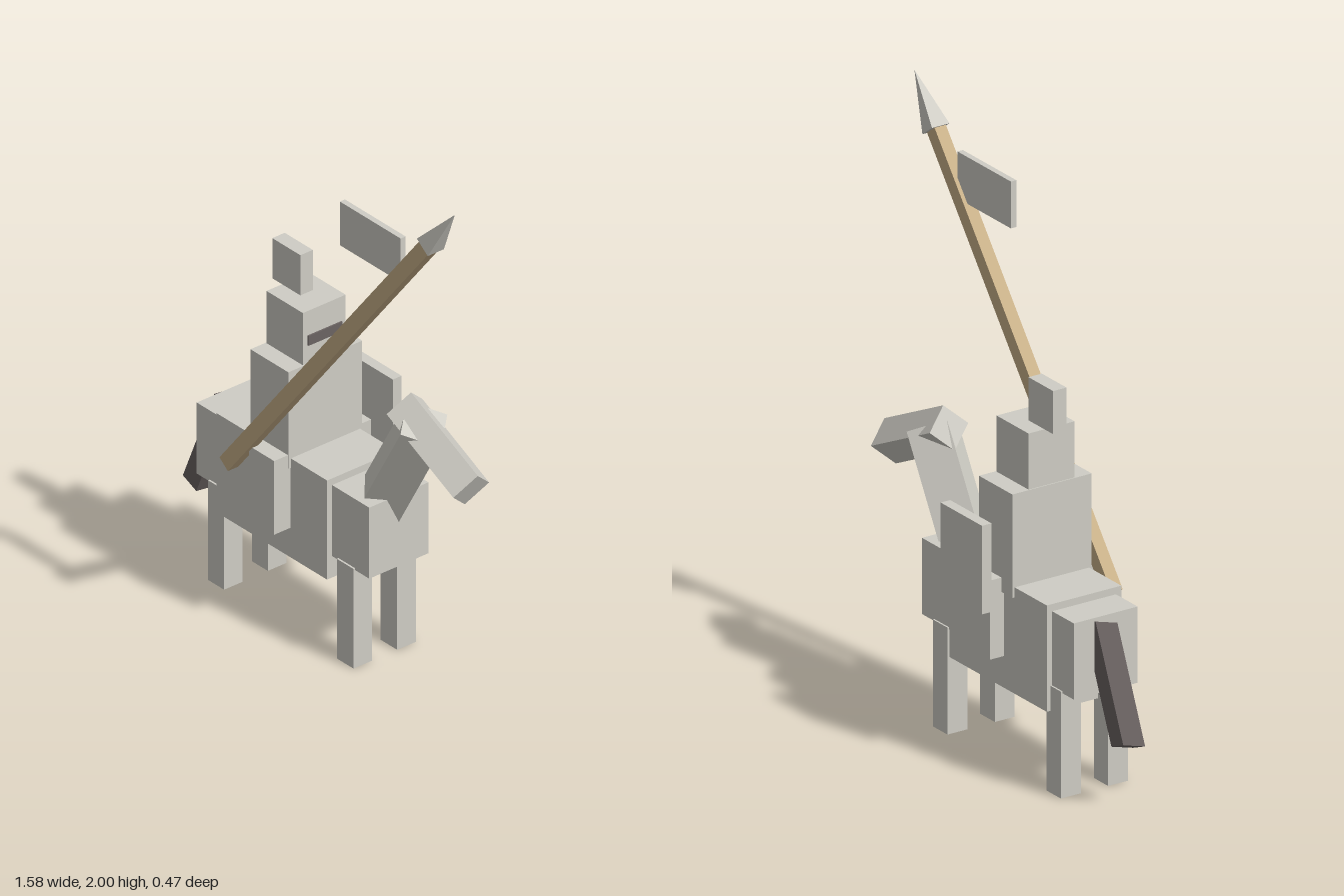
import * as THREE from 'three';

const mat = (name, color) => {
  const m = new THREE.MeshStandardMaterial({ color });
  m.name = name;
  return m;
};

export function createModel() {
  const group = new THREE.Group();
  const stone = mat('pale stone', 0xcfcdc5);
  const wood = mat('lance wood', 0xc9b189);
  const dark = mat('dark brown grey', 0x6b6362);
  const midZ = -0.008;

  const add = (name, geometry, material) => {
    const mesh = new THREE.Mesh(geometry, material);
    mesh.name = name;
    group.add(mesh);
    return mesh;
  };

  // Box given by its limits on each axis
  const block = (name, [x0, x1], [y0, y1], [z0, z1], material = stone) => {
    const mesh = add(name, new THREE.BoxGeometry(x1 - x0, y1 - y0, z1 - z0), material);
    mesh.position.set((x0 + x1) / 2, (y0 + y1) / 2, (z0 + z1) / 2);
    return mesh;
  };

  // Stretches a geometry-builder's result between two points in a plane of constant z
  const beam = (name, [x0, y0], [x1, y1], z, make, material = stone) => {
    const mesh = add(name, make(Math.hypot(x1 - x0, y1 - y0)), material);
    mesh.position.set((x0 + x1) / 2, (y0 + y1) / 2, z);
    mesh.rotation.z = Math.atan2(y1 - y0, x1 - x0) - Math.PI / 2;
    return mesh;
  };
  // Four-sided prism standing on its corners, with split normals
  const prism = (r) => (len) => new THREE.CylinderGeometry(r, r, len, 4).toNonIndexed();
  const facet = (make) => (len) => {
    const g = make(len);
    g.computeVertexNormals();
    return g;
  };

  // Horse
  block('horseBody', [-0.6, 0.26], [0.365, 0.63], [-0.132, 0.116]);
  block('horseBlanket', [-0.477, 0.075], [0.285, 0.655], [-0.153, 0.137]);
  for (const [name, x] of [['hind', [-0.535, -0.455]], ['front', [0.107, 0.19]]]) {
    block(name + 'LegLeft', x, [0, 0.372], [0.046, 0.123]);
    block(name + 'LegRight', x, [0, 0.372], [-0.138, -0.06]);
  }
  beam('horseNeck', [0.175, 0.578], [0.385, 0.95], midZ, facet(prism(0.098)));
  beam('horseHead', [0.288, 0.973], [0.621, 0.813], midZ, facet(prism(0.075)));

  // Tail, slightly skewed to one side
  const tail = beam('horseTail', [-0.585, 0.6], [-0.742, 0.224], -0.018,
    (len) => new THREE.BoxGeometry(0.073, len, 0.066), dark);
  tail.updateMatrix();
  tail.geometry.applyMatrix4(new THREE.Matrix4().makeRotationFromEuler(tail.rotation));
  tail.rotation.set(0, 0, 0);
  tail.geometry.applyMatrix4(new THREE.Matrix4().set(
    1, 0, -0.42, 0,
    0, 1, -0.15, 0,
    0, 0, 1, 0,
    0, 0, 0, 1));
  tail.geometry.computeVertexNormals();

  // Rider
  block('riderTorso', [-0.295, -0.106], [0.62, 0.98], [-0.162, 0.147]);
  block('riderLegLeft', [-0.234, -0.108], [0.395, 0.67], [0.125, 0.205]);
  block('riderLegRight', [-0.234, -0.108], [0.395, 0.67], [-0.207, -0.14]);
  block('helmet', [-0.291, -0.11], [0.98, 1.175], [-0.096, 0.083]);
  block('visorSlit', [-0.112, -0.104], [1.048, 1.084], [-0.078, 0.064], dark);
  block('helmetCrest', [-0.34, -0.2], [1.175, 1.325], [-0.034, 0.018]);
  block('shield', [-0.234, 0], [0.56, 0.868], [-0.238, -0.201]);

  // Lance with point and pennant
  beam('lanceShaft', [-0.335, 0.563], [0.68, 1.848], 0.204,
    (len) => new THREE.BoxGeometry(0.053, len, 0.044), wood);
  beam('lancePoint', [0.666, 1.833], [0.788, 1.997], 0.201,
    facet((len) => new THREE.ConeGeometry(0.048, len, 4, 1, false, Math.PI / 4).toNonIndexed()));
  block('pennant', [0.234, 0.537], [1.637, 1.8], [0.196, 0.217]);

  return group;
}
